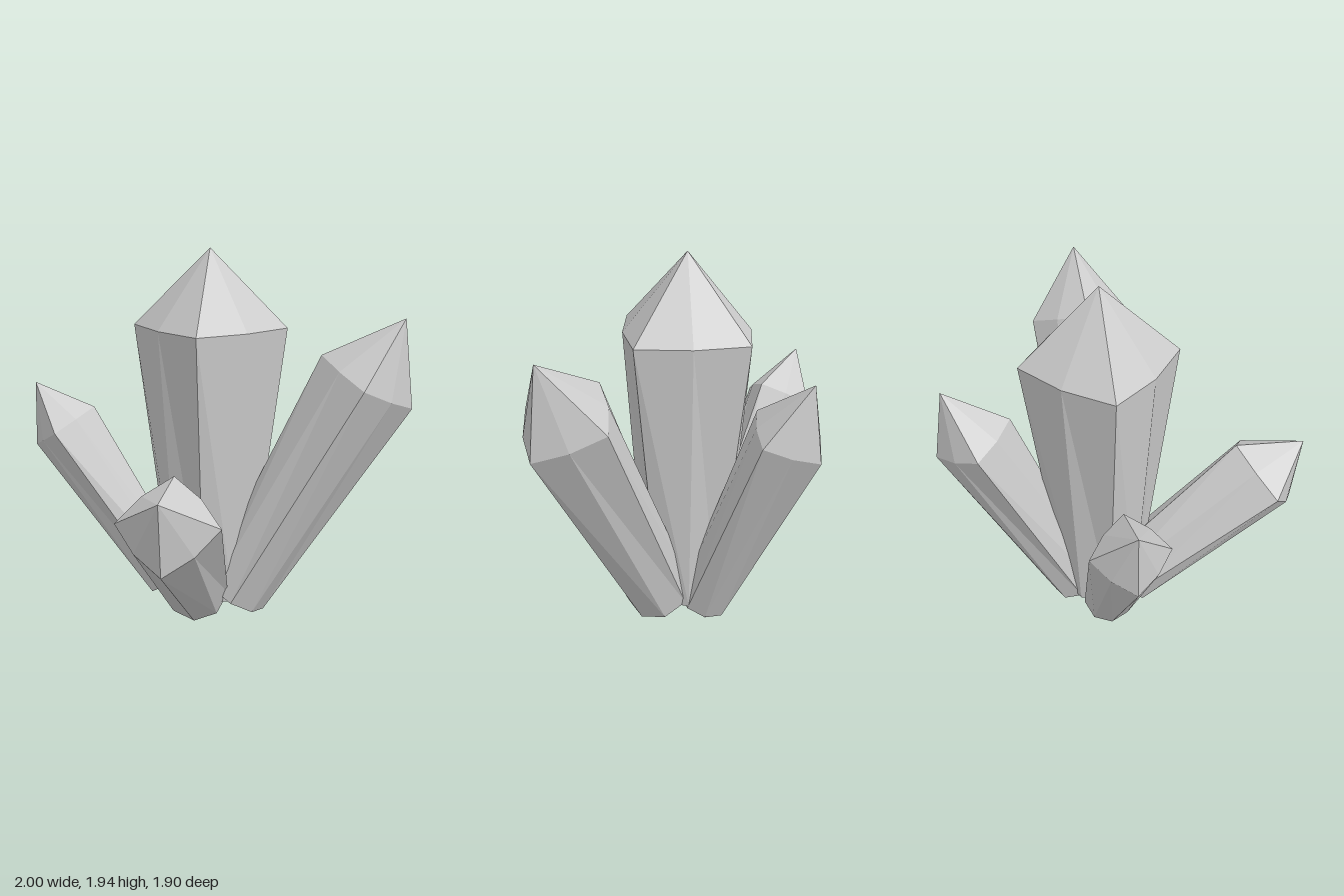
import * as THREE from 'three';

const material = new THREE.MeshStandardMaterial({ color: 0xcccccc, flatShading: true });

// Tapered prism with an octagonal foot, a squarer shoulder and a four-faced point
function crystalGeometry(footRadius, shoulderRadius, length, tip) {
  const profile = [[0, 0], [footRadius, 0], [shoulderRadius, length], [0, length + tip]]
    .map(([r, y]) => new THREE.Vector2(r, y));
  const geometry = new THREE.LatheGeometry(profile, 8);
  const p = geometry.attributes.position;
  for (let i = 0; i < p.count; i++) {
    const x = p.getX(i), z = p.getZ(i);
    const diagonal = Math.abs(x) > 1e-4 && Math.abs(z) > 1e-4;
    // Pull in the diagonal corners of the shoulder
    if (diagonal && p.getY(i) > length / 2) {
      p.setX(i, x * 0.8);
      p.setZ(i, z * 0.8);
    }
  }
  geometry.computeVertexNormals();
  return geometry;
}

// Places a crystal from the centre of its foot to the centre of its shoulder
function crystal({ name, foot, shoulder, radii, tip }) {
  const start = new THREE.Vector3(...foot);
  const axis = new THREE.Vector3(...shoulder).sub(start);
  const mesh = new THREE.Mesh(crystalGeometry(...radii, axis.length(), tip), material);
  mesh.name = name;
  mesh.position.copy(start);
  mesh.quaternion.setFromUnitVectors(new THREE.Vector3(0, 1, 0), axis.normalize());
  return mesh;
}

export function createModel() {
  const group = new THREE.Group();
  group.name = 'crystalCluster';
  const crystals = [
    { name: 'centralCrystal', foot: [-0.045, 0.1, -0.12], shoulder: [-0.045, 1.54, -0.12], radii: [0.21, 0.4], tip: 0.4 },
    { name: 'leftCrystal', foot: [0.1, 0.113, -0.07], shoulder: [0.765, 1.285, -0.07], radii: [0.172, 0.265], tip: 0.375 },
    { name: 'rightCrystal', foot: [-0.275, 0.147, -0.135], shoulder: [-0.8375, 0.98, -0.135], radii: [0.128, 0.196], tip: 0.28 },
    { name: 'frontCrystal', foot: [-0.095, 0.133, -0.002], shoulder: [-0.095, 0.737, 0.745], radii: [0.165, 0.254], tip: 0.268 },
    { name: 'backCrystal', foot: [-0.03, 0.087, -0.26], shoulder: [-0.03, 1.147, -0.758], radii: [0.135, 0.208], tip: 0.322 },
  ];
  for (const c of crystals) group.add(crystal(c));
  return group;
}
